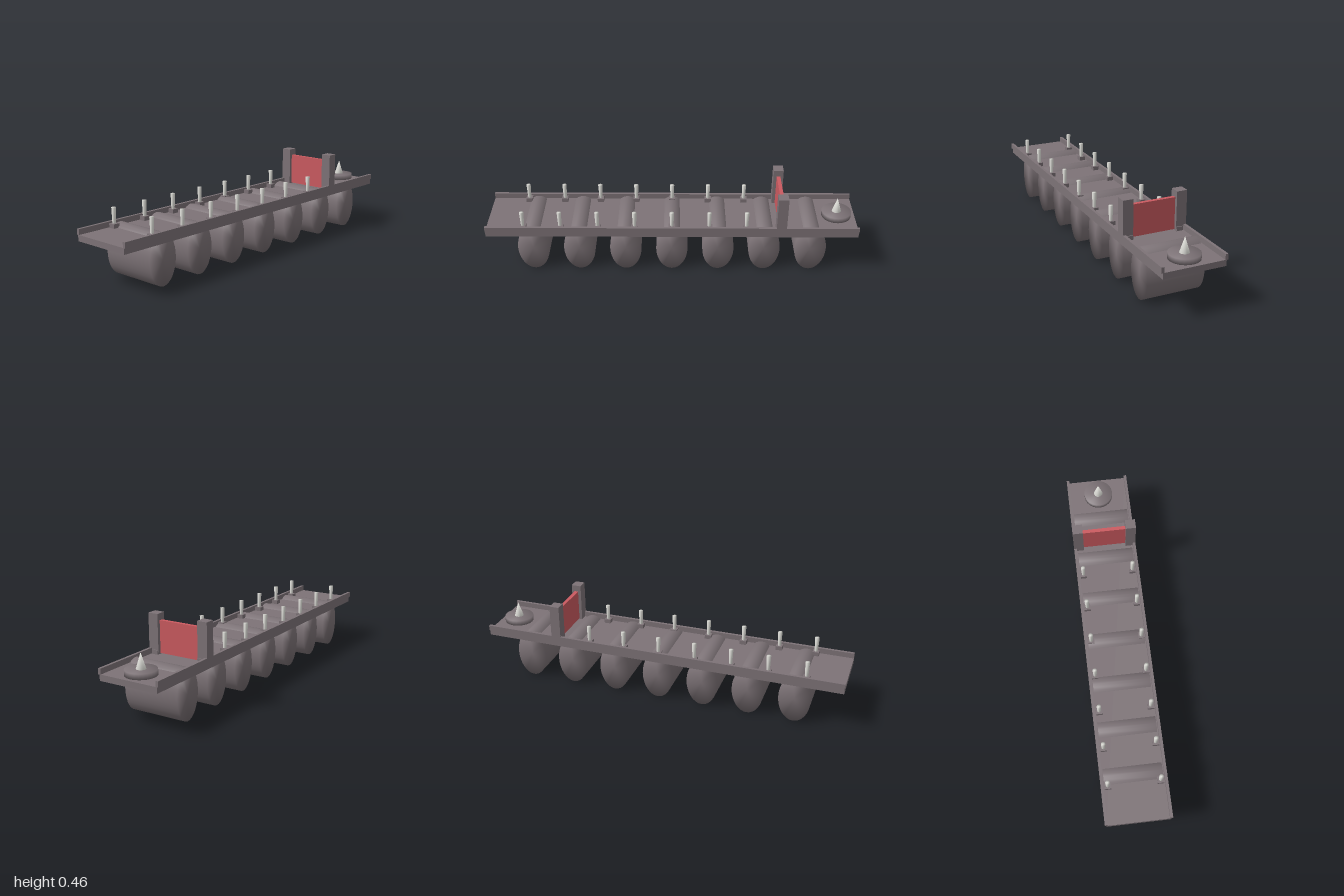
import * as THREE from 'three';
import { mergeVertices } from 'three/addons/utils/BufferGeometryUtils.js';

const material = (name, color) => {
  const m = new THREE.MeshStandardMaterial({ color });
  m.name = name;
  return m;
};

// Cylinder whose caps shade smoothly into its side
function softCylinder(rTop, rBottom, height, sides) {
  const g = new THREE.CylinderGeometry(rTop, rBottom, height, sides);
  g.deleteAttribute('normal');
  g.deleteAttribute('uv');
  const merged = mergeVertices(g, 1e-5);
  merged.computeVertexNormals();
  return merged;
}

export function createModel() {
  const model = new THREE.Group();
  model.name = 'pontoonBridge';

  const stone = material('greyStone', 0x7d7377);
  const red = material('gateRed', 0xcb5a60);
  const pale = material('paleWhite', 0xe4e4de);

  function add(name, geometry, mat, x, y, z) {
    const mesh = new THREE.Mesh(geometry, mat);
    mesh.name = name;
    mesh.position.set(x, y, z);
    model.add(mesh);
    return mesh;
  }
  const box = (w, h, d) => new THREE.BoxGeometry(w, h, d);

  // Deck
  add('deck', box(0.334, 0.032, 2), stone, 0, 0.235, 0);

  // Oval floats lying across the deck, their tops just breaking through it
  const floatShape = softCylinder(1, 1, 0.31, 32);
  floatShape.rotateZ(Math.PI / 2);
  floatShape.scale(1, 0.135, 0.085);
  floatShape.computeVertexNormals();
  for (let i = 0; i < 7; i++) {
    add('float', floatShape, stone, 0, 0.135, -0.75 + i * 0.25);
  }

  // Kerb rails, lamps and gate posts, mirrored on both sides
  const lampBase = box(0.035, 0.024, 0.035);
  const lamp = softCylinder(0.012, 0.009, 0.083, 12);
  for (const side of [-1, 1]) {
    add('rail', box(0.015, 0.03, 2), stone, side * 0.1675, 0.265, 0);
    add('gatePost', box(0.056, 0.21, 0.054), stone, side * 0.147, 0.355, -0.585);
    for (let i = 0; i < 8; i++) {
      const z = 0.8 - i * 0.2;
      add('lampBase', lampBase, stone, side * 0.138, 0.261, z);
      add('lamp', lamp, pale, side * 0.138, 0.3135, z);
    }
  }

  // Gate panel between the posts
  add('gatePanel', box(0.24, 0.17, 0.02), red, 0, 0.34, -0.585);

  // Beacon at the rear end
  add('beaconBase', softCylinder(0.08, 0.08, 0.03, 24), stone, 0, 0.265, -0.9);
  add('beaconSpike', softCylinder(0, 0.025, 0.08, 16), pale, 0, 0.32, -0.9);

  return model;
}
